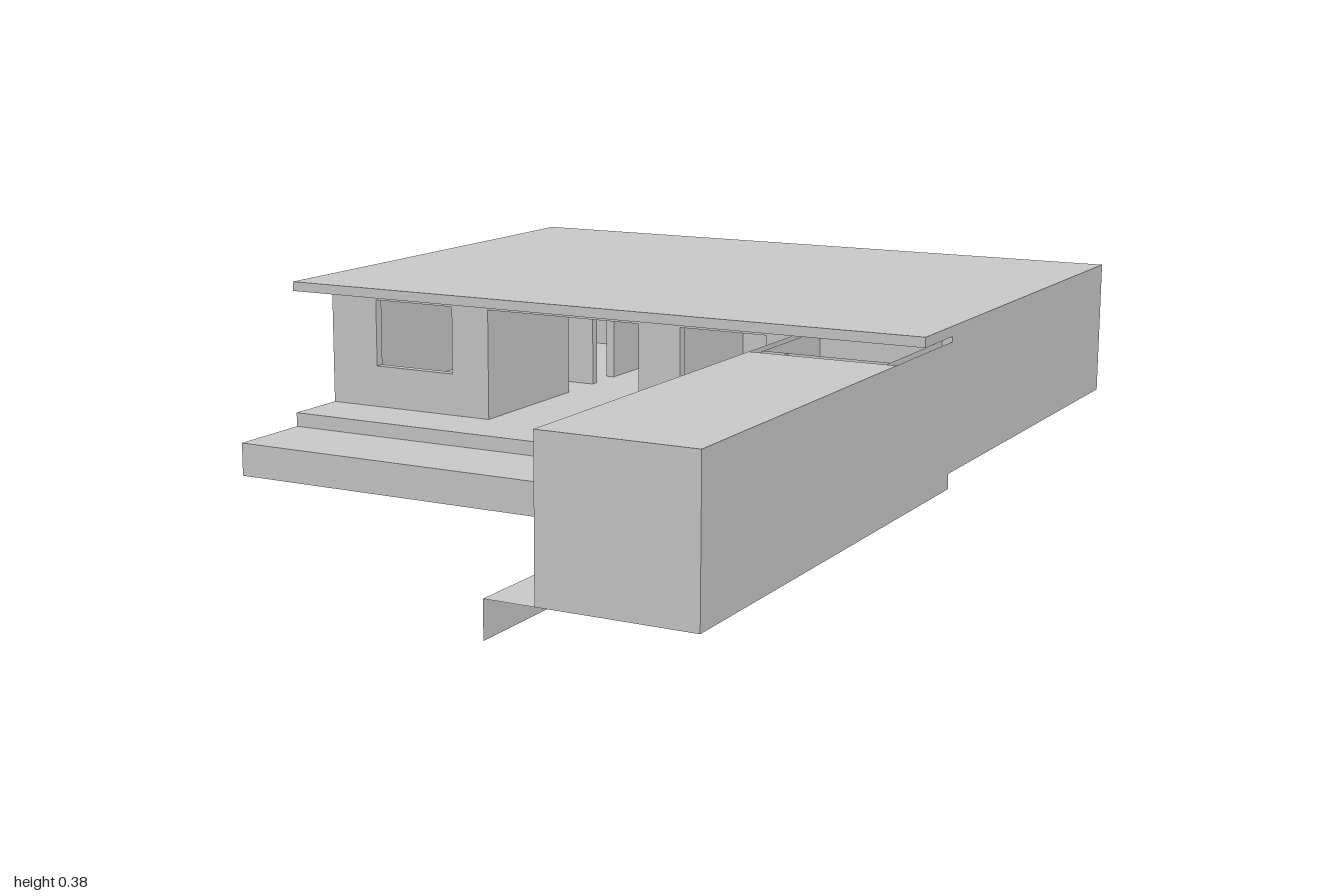
import * as THREE from 'three';
import { mergeGeometries } from 'three/addons/utils/BufferGeometryUtils.js';

const T = 0.02; // wall thickness
const mat = new THREE.MeshStandardMaterial({ color: 0xcccccc, flatShading: true, side: THREE.DoubleSide });

// Box from its limits; top and bottom caps can be left off
function box(x0, x1, y0, y1, z0, z1, top = true, bottom = true) {
  const g = new THREE.BoxGeometry(x1 - x0, y1 - y0, z1 - z0);
  g.translate((x0 + x1) / 2, (y0 + y1) / 2, (z0 + z1) / 2);
  const i = Array.from(g.index.array);
  g.setIndex([...i.slice(0, 12), ...(top ? i.slice(12, 18) : []),
    ...(bottom ? i.slice(18, 24) : []), ...i.slice(24)]);
  return g;
}

// Horizontal sheet
function sheet(x0, x1, z0, z1, y) {
  return new THREE.PlaneGeometry(x1 - x0, z1 - z0).rotateX(-Math.PI / 2)
    .translate((x0 + x1) / 2, y, (z0 + z1) / 2);
}

// Walls with openings [from, to, low, high]; footprints collects the ground plan
function walls(list, y0, y1, footprints) {
  const parts = [];
  for (const [axis, at, from, to, openings = []] of list) {
    const piece = (a, b, lo, hi) => {
      if (b - a < 1e-4 || hi - lo < 1e-4) return;
      const r = axis === 'x' ? [a, b, at, at + T] : [at, at + T, a, b];
      parts.push(box(r[0], r[1], lo, hi, r[2], r[3], hi < y1, lo > y0));
      if (lo === y0) footprints.push(r);
    };
    let p = from;
    for (const [a, b, lo, hi] of openings) {
      piece(p, a, y0, y1);
      piece(a, b, y0, lo);
      piece(a, b, hi, y1);
      p = b;
    }
    piece(p, to, y0, y1);
  }
  return mergeGeometries(parts);
}

// Floor sheet left open under the walls
function floor(x0, x1, z0, z1, y, holes) {
  const cuts = (lo, hi, k) => [...new Set([lo, hi, ...holes.flatMap(h => [h[k], h[k + 1]])])]
    .filter(v => v >= lo && v <= hi).sort((a, b) => a - b);
  const xs = cuts(x0, x1, 0), zs = cuts(z0, z1, 2), cells = [];
  for (let i = 0; i + 1 < xs.length; i++) {
    for (let j = 0; j + 1 < zs.length; j++) {
      const x = (xs[i] + xs[i + 1]) / 2, z = (zs[j] + zs[j + 1]) / 2;
      if (!holes.some(h => x > h[0] && x < h[1] && z > h[2] && z < h[3]))
        cells.push(sheet(xs[i], xs[i + 1], zs[j], zs[j + 1], y));
    }
  }
  return mergeGeometries(cells);
}

export function createModel() {
  const model = new THREE.Group();
  model.name = 'house';
  const add = (name, geometry) => {
    const m = new THREE.Mesh(geometry, mat);
    m.name = name;
    model.add(m);
  };
  const W = 0.715, base = 0.1, low = 0.07, eave = 0.365, wingTop = 0.355;
  const door = (a, b, y = base) => [a, b, y, 0.29];
  const vent = (a, b) => [a, b, 0.295, 0.338];
  const pane = (a, b) => [a, b, 0.19, 0.335];

  // Main house: outer walls, with vents at the back and wide openings at the front
  const plan = [];
  add('outerWalls', walls([
    ['z', -W, -1, -0.05],
    ['z', W - T, -1, -0.05],
    ['x', -1, -W + T, W - T, [vent(-0.58, -0.475), vent(-0.19, -0.095), vent(0.19, 0.335), vent(0.51, 0.6)]],
    ['x', -0.07, -W + T, W - T, [pane(-0.6, -0.405), [-0.315, 0.045, base, 0.335],
      pane(0.14, 0.33), door(0.62, 0.695)]],
  ], base, eave, plan));

  // Room partitions
  add('partitions', walls([
    ['z', 0.445, -1 + T, -0.07, [door(-0.54, -0.43)]],
    ['x', -0.63, 0.465, W - T, [door(0.655, 0.695)]],
    ['x', -0.63, -0.315, 0.445, [door(-0.315, -0.215), door(-0.05, 0.03), door(0.33, 0.445)]],
    ['x', -0.52, 0.045, 0.445],
    ['z', 0.045, -0.52, -0.07],
    ['z', -0.335, -1 + T, -0.6],
    ['x', -0.52, -W + T, -0.315],
    ['z', -0.335, -0.5, -0.07, [door(-0.5, -0.39)]],
  ], base, eave, plan));
  add('houseFloor', mergeGeometries([
    floor(-W, W, -1, -0.05, base, plan),
    sheet(-W, 0.425, -0.05, 0.09, base),
  ]));
  add('mainRoof', box(-W, W, eave, 0.385, -1, 0.09));

  // Side wing with an open patio next to the house
  const wingPlan = [];
  add('wingWalls', walls([
    ['z', 0.425, -0.05, 1, [door(0.48, 0.585, low), door(0.65, 0.74, low)]],
    ['z', W - T, -0.05, 1],
    ['x', 1 - T, 0.445, W - T],
    ['x', 0.21, 0.445, W - T, [door(0.445, 0.495, low)]],
    ['x', 0.61, 0.445, W - T],
  ], low, wingTop, wingPlan));
  add('wingFloor', floor(0.425, W, -0.05, 1, low, wingPlan));
  add('wingRoof', box(0.425, W, 0.342, wingTop, 0.23, 1));

  // Terrace: L-shaped sheet with thin risers
  add('terrace', mergeGeometries([
    sheet(-W, 0.425, 0.09, 0.28, low),
    sheet(0.33, 0.425, 0.28, 1, low),
  ]));
  const riser = (x0, x1, y0, y1, z) => new THREE.PlaneGeometry(x1 - x0, y1 - y0)
    .translate((x0 + x1) / 2, (y0 + y1) / 2, z);
  add('risers', mergeGeometries([
    riser(-W, 0.425, low, base, 0.09),
    riser(0.425, W, low, base, -0.05),
    riser(-W, 0.33, 0, low, 0.28),
    riser(-0.36, 0.36, 0, low, 0).rotateY(-Math.PI / 2).translate(0.33, 0, 0.64),
  ]));
  return model;
}
